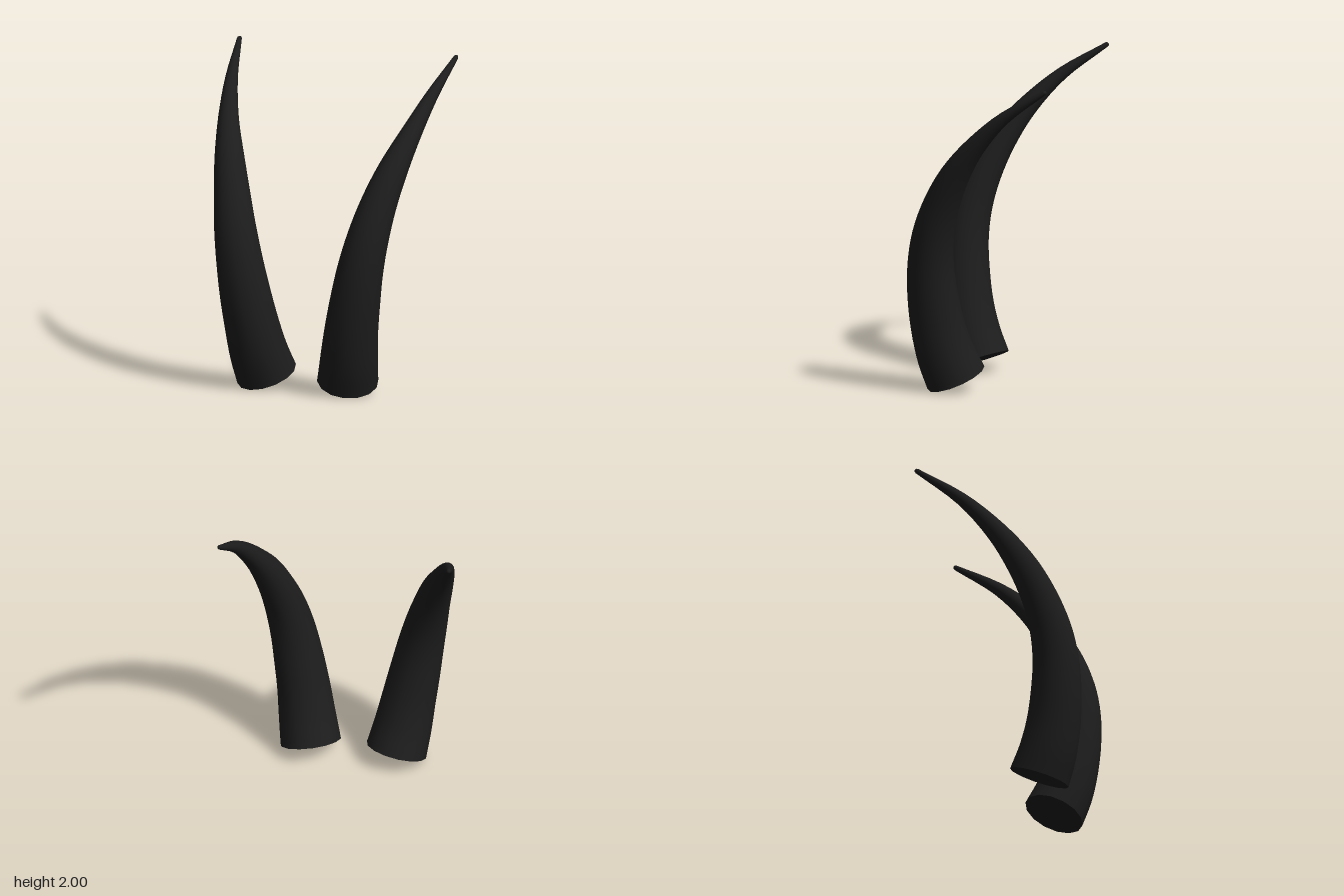
import * as THREE from 'three';

// Horn centreline and thickness: x, y, z, radius from base to tip
const STATIONS = [
  [0.265, 0.073, 0.215, 0.188],
  [0.295, 0.22, 0.27, 0.178],
  [0.325, 0.4, 0.312, 0.166],
  [0.36, 0.6, 0.335, 0.155],
  [0.395, 0.8, 0.338, 0.142],
  [0.435, 1.0, 0.31, 0.128],
  [0.48, 1.2, 0.245, 0.111],
  [0.535, 1.4, 0.145, 0.091],
  [0.597, 1.6, 0, 0.064],
  [0.655, 1.8, -0.2, 0.039],
  [0.708, 1.985, -0.468, 0.015],
];
const SIDES = 14;
const RINGS = 40;

// Sweeps a round section along the centreline; side is +1 (left) or -1 (right)
function hornParts(side) {
  const path = new THREE.CatmullRomCurve3(
    STATIONS.map(([x, y, z]) => new THREE.Vector3(x * side, y, z)), false, 'catmullrom');
  const radii = new THREE.CatmullRomCurve3(
    STATIONS.map((s) => new THREE.Vector3(s[3], 0, 0)), false, 'catmullrom');
  const positions = [];
  const index = [];
  const baseRing = [];

  const addRing = (center, tangent, radius) => {
    const across = new THREE.Vector3(1, 0, 0).addScaledVector(tangent, -tangent.x).normalize();
    const front = new THREE.Vector3().crossVectors(across, tangent);
    for (let i = 0; i < SIDES; i++) {
      const a = ((i + 0.5) / SIDES) * Math.PI * 2;
      const p = center.clone()
        .addScaledVector(front, -Math.cos(a) * radius)
        .addScaledVector(across, -Math.sin(a) * radius);
      positions.push(p.x, p.y, p.z);
      if (baseRing.length < SIDES) baseRing.push(p);
    }
  };

  for (let r = 0; r <= RINGS; r++) {
    const t = r / RINGS;
    addRing(path.getPoint(t), path.getTangent(t), radii.getPoint(t).x);
  }

  // Blunt rounded tip
  const end = path.getPoint(1);
  const endDir = path.getTangent(1);
  addRing(end.clone().addScaledVector(endDir, 0.01), endDir, 0.01);
  const apex = end.clone().addScaledVector(endDir, 0.014);
  positions.push(apex.x, apex.y, apex.z);
  const apexId = positions.length / 3 - 1;

  for (let r = 0; r <= RINGS; r++) {
    for (let i = 0; i < SIDES; i++) {
      const a = r * SIDES + i;
      const b = r * SIDES + ((i + 1) % SIDES);
      index.push(a, b, b + SIDES, a, b + SIDES, a + SIDES);
    }
  }
  const last = (RINGS + 1) * SIDES;
  for (let i = 0; i < SIDES; i++) index.push(last + i, last + ((i + 1) % SIDES), apexId);

  const shaft = new THREE.BufferGeometry();
  shaft.setAttribute('position', new THREE.Float32BufferAttribute(positions, 3));
  shaft.setIndex(index);
  shaft.computeVertexNormals();

  // Flat disc closing the base
  const cap = new THREE.BufferGeometry().setFromPoints([path.getPoint(0), ...baseRing]);
  const fan = [];
  for (let i = 0; i < SIDES; i++) fan.push(0, 1 + ((i + 1) % SIDES), 1 + i);
  cap.setIndex(fan);
  cap.computeVertexNormals();
  return { shaft, cap };
}

export function createModel() {
  const hornBlack = new THREE.MeshStandardMaterial({ color: 0x1d1d1d, side: THREE.DoubleSide });
  hornBlack.name = 'hornBlack';

  const model = new THREE.Group();
  model.name = 'hornPair';
  for (const [name, side] of [['leftHorn', 1], ['rightHorn', -1]]) {
    const horn = new THREE.Group();
    horn.name = name;
    for (const [part, geometry] of Object.entries(hornParts(side))) {
      const mesh = new THREE.Mesh(geometry, hornBlack);
      mesh.name = part === 'shaft' ? 'hornShaft' : 'hornBase';
      horn.add(mesh);
    }
    model.add(horn);
  }
  return model;
}
